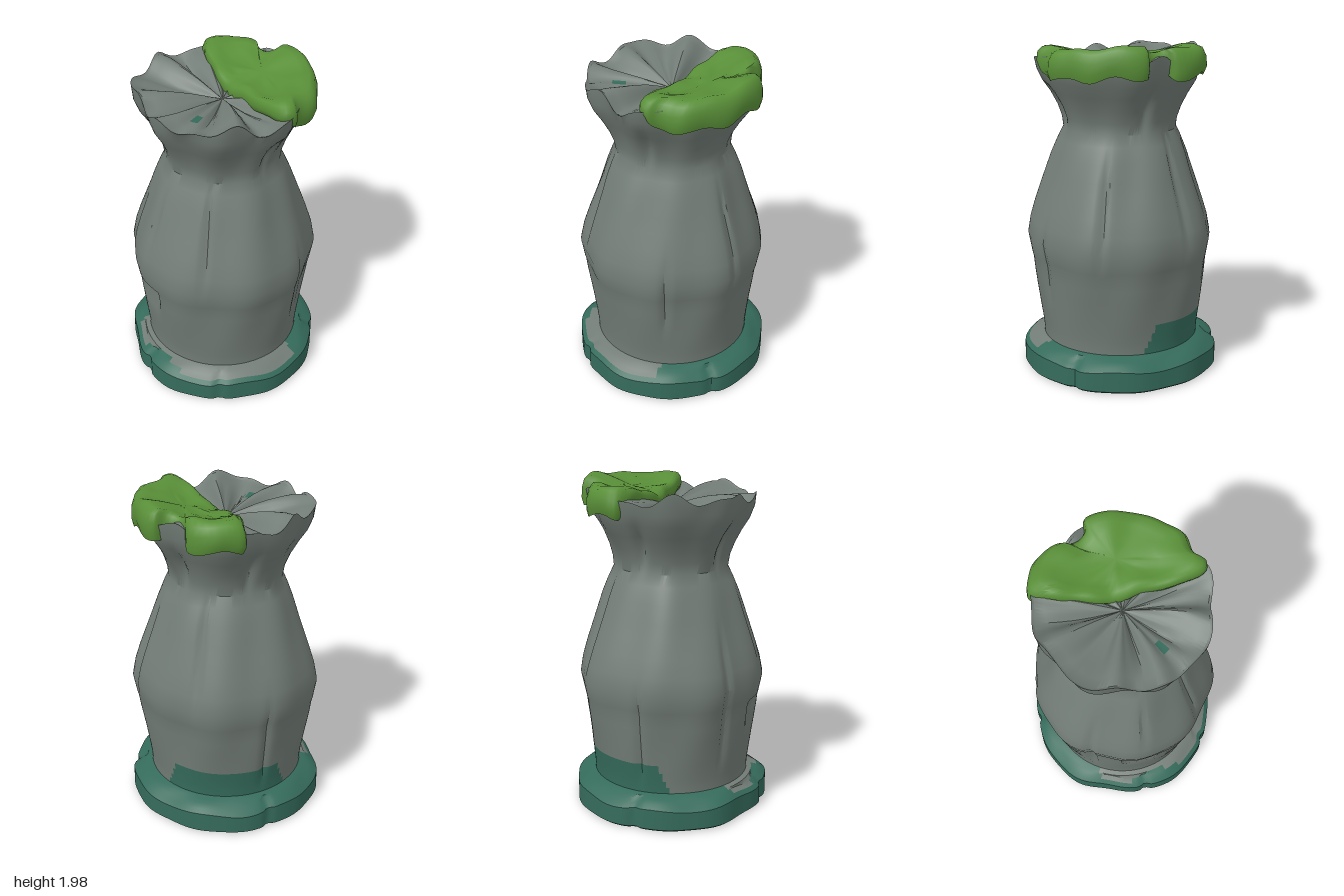
import * as THREE from 'three';
import { toCreasedNormals } from 'three/addons/utils/BufferGeometryUtils.js';

const stone = new THREE.MeshStandardMaterial({ name: 'grey stone', color: 0x737d77 });
const teal = new THREE.MeshStandardMaterial({ name: 'teal patina', color: 0x356b5b });
const moss = new THREE.MeshStandardMaterial({ name: 'green moss', color: 0x598f38 });

const TAU = Math.PI * 2;
const smooth = THREE.MathUtils.smoothstep;
const turn = (t, centre) => Math.atan2(Math.sin(t - centre), Math.cos(t - centre));
const bump = (t, centre, width) => Math.exp(-((turn(t, centre) / width) ** 2));
const plateau = (t, centre, half, soft) => 1 - smooth(Math.abs(turn(t, centre)), half - soft, half);

// Skins a closed grid of rings; keep(row, column) selects the faces
function skin(rows, cols, point, crease, keep = () => true) {
  const pos = [], index = [];
  for (let i = 0; i < rows; i++)
    for (let j = 0; j < cols; j++) pos.push(...point(i, j));
  for (let i = 0; i < rows - 1; i++)
    for (let j = 0; j < cols; j++) {
      if (!keep(i, j)) continue;
      const k = (j + 1) % cols;
      const a = i * cols + j, b = i * cols + k, c = b + cols, d = a + cols;
      if (i > 0) index.push(a, b, c);
      else { index.push(a, c, d); continue; }
      if (i < rows - 2) index.push(a, c, d);
    }
  const geo = new THREE.BufferGeometry();
  geo.setAttribute('position', new THREE.Float32BufferAttribute(pos, 3));
  geo.setIndex(index);
  return toCreasedNormals(geo, crease);
}

// Scalloped rim and the pleated hollow inside it
const rimHeight = t => 1.9 + 0.026 * Math.sin(8 * t + 1) + 0.014 * Math.sin(13 * t + 2)
  - 0.045 * bump(t, 0.15, 0.22) - 0.03 * bump(t, 1.3, 0.3) + 0.015 * bump(t, -1.2, 0.5);
const rimRadius = t => 0.485 + 0.014 * Math.sin(8 * t + 2.2) + 0.01 * Math.sin(5 * t);
const pleat = t => Math.asin(Math.sin(8 * t + 0.8 * Math.sin(3 * t))) * 0.022
  + 0.008 * Math.sin(19 * t + 1);
const hollow = (f, t) => 1.82 + (rimHeight(t) - 1.82) * Math.pow(f, 1.1)
  + pleat(t) * Math.sin(Math.PI * f);

// Outer profile [radius, height], from under the foot up to the rim
const profile = [
  [0, 0.02], [0.57, 0.012], [0.587, 0.025], [0.585, 0.138], [0.56, 0.16], [0.53, 0.178],
  [0.5, 0.194], [0.47, 0.203], [0.471, 0.24], [0.475, 0.28], [0.481, 0.33], [0.488, 0.38],
  [0.497, 0.45], [0.508, 0.53], [0.519, 0.61], [0.528, 0.69], [0.535, 0.715], [0.553, 0.82],
  [0.534, 0.92], [0.503, 1.02], [0.468, 1.12], [0.433, 1.22], [0.4, 1.32], [0.364, 1.41],
  [0.333, 1.475], [0.342, 1.54], [0.366, 1.61], [0.405, 1.69], [0.447, 1.76], [0.473, 1.83]
];
const funnel = [1, 0.97, 0.85, 0.7, 0.54, 0.36, 0.18, 0.02, 0];
const COLS = 144;
const ROWS = profile.length + funnel.length;
const angle = j => (j / COLS) * TAU;

function vasePoint(i, j) {
  const t = angle(j);
  let r, y;
  if (i >= profile.length) {
    const f = funnel[i - profile.length];
    r = f * rimRadius(t);
    y = f === 1 ? rimHeight(t) : hollow(f, t) - (f === 0.97 ? 0.008 : 0);
  } else {
    [r, y] = profile[i];
    if (i > 0 && i < 6) {
      // chipped foot blocks
      r += 0.004 * Math.sin(5 * t + 0.6) + 0.004 * Math.sin(11 * t) - 0.025 * bump(t, -0.6, 0.3);
      for (const notch of [-0.2, 0.72, 2.3, -1.9]) r -= 0.02 * bump(t, notch, 0.05);
      if (i > 2) y += 0.008 * Math.sin(7 * t + 1);
    } else if (i >= 7) {
      // worn facets on the belly
      const belly = smooth(y, 0.2, 0.7) * (1 - 0.5 * smooth(y, 1.2, 1.5));
      r += belly * (0.009 * Math.sin(5 * t + 2 * y) + 0.007 * Math.sin(9 * t - 3 * y + 1));
      // shallow vertical splits, each over its own stretch of height
      for (const [at, low, high] of [[0.55, 0.9, 1.4], [-0.2, 1.0, 1.3], [-0.85, 0.4, 1.1],
        [1.8, 0.5, 0.9], [2.6, 0.8, 1.3], [3.6, 0.9, 1.4], [4.4, 0.3, 0.8]])
        r -= 0.02 * bump(t, at, 0.04) * smooth(y, low - 0.1, low + 0.1)
          * (1 - smooth(y, high - 0.1, high + 0.1));
      // undercut chip on the front
      if (y > 0.5 && y < 0.7) r -= 0.035 * smooth(y, 0.5, 0.61) * plateau(t, -0.26, 0.2, 0.05);
      // gathered folds in the flared collar
      r += smooth(y, 1.45, 1.83) * (0.016 * Math.sin(8 * t + 2.2) + 0.01 * Math.sin(5 * t));
      const fold = smooth(y, 1.48, 1.6) * (1 - smooth(y, 1.66, 1.8));
      for (const at of [-0.6, 1.5, 3.2, 4.3]) r -= 0.035 * fold * bump(t, at, 0.09);
    }
  }
  return [r * Math.sin(t), y, r * Math.cos(t)];
}

// Ragged edge where the teal foot meets the stone
function isTeal(i, j) {
  const t = angle(j);
  if (i >= profile.length) {
    const f = funnel[i - profile.length];
    return f <= 0.7 && f > 0.54 && t > 0.2 && t < 0.32;
  }
  // bare ledge at the front right, teal climbing the wall at the back left
  const bare = plateau(t, 0.45, 1.3, 0.1);
  const climb = plateau(t, 3.9, 0.88, 0.2);
  const edge = 6.5 - 3 * bare + 1.4 * bump(t, -0.05, 0.35) + 3.9 * climb
    + 0.4 * Math.sin(7 * t + 2);
  return i < edge;
}

// Moss cushion: rings between an irregular outline and its centre
function mossGeometry() {
  const outline = [
    [-0.33, -0.2], [-0.22, -0.14], [-0.1, -0.08], [0, -0.05], [0.12, -0.03], [0.3, 0.02],
    [0.45, 0.035], [0.515, -0.015], [0.485, -0.07], [0.49, -0.2], [0.42, -0.32], [0.3, -0.44],
    [0.15, -0.515], [0.03, -0.53], [0.0, -0.46], [-0.11, -0.43], [-0.18, -0.47],
    [-0.35, -0.4], [-0.415, -0.28]
  ];
  const curve = new THREE.CatmullRomCurve3(
    outline.map(([x, z]) => new THREE.Vector3(x, 0, z)), true);
  const cols = 90, cx = 0.08, cz = -0.24;
  // [scale, lift above the hollow, droop over the rim]
  const rings = [
    [0, -0.02, 0], [0.7, -0.03, 0], [0.88, -0.04, 0.5], [0.96, -0.03, 1], [1, 0.0, 0.85],
    [0.99, 0.03, 0.55], [0.94, 0.05, 0.25], [0.84, 0.058, 0.05], [0.68, 0.052, 0],
    [0.5, 0.045, 0], [0.25, 0.045, 0], [0, 0.045, 0]
  ];
  const edge = curve.getPoints(cols);
  return skin(rings.length, cols, (i, j) => {
    const [s, lift, droop] = rings[i];
    const p = edge[j];
    const wobble = 1 + 0.012 * Math.sin(j * 0.9) * s;
    const x = cx + (p.x - cx) * s * wobble, z = cz + (p.z - cz) * s * wobble;
    const t = Math.atan2(x, z), r = Math.hypot(x, z);
    const f = Math.min(1, r / rimRadius(t));
    // even out the pleats beneath the cushion, leaving broad lobes
    const base = 1.825 + 0.1 * f + 0.2 * (rimHeight(t) - 1.9) * f;
    const lobes = f * (0.025 * bump(t, 2.9, 0.25) - 0.03 * bump(t, 3.3, 0.15)
      - 0.015 * bump(t, 1.85, 0.2) - 0.015 * bump(t, 2.4, 0.15));
    const lumps = 0.01 * Math.sin(23 * x + 2) * Math.sin(21 * z);
    const hang = 0.09 * (1 - 0.65 * bump(t, 1.5, 0.16)) * (1 + 0.15 * Math.sin(11 * t));
    return [x, base + lift + lobes + lumps - hang * droop * smooth(r, 0.36, 0.5), z];
  }, 1.2);
}

export function createModel() {
  const model = new THREE.Group();
  model.name = 'mossyStoneVase';
  const add = (name, geo, mat) => {
    const mesh = new THREE.Mesh(geo, mat);
    mesh.name = name;
    model.add(mesh);
  };
  add('vaseBody', skin(ROWS, COLS, vasePoint, 0.6, (i, j) => !isTeal(i, j)), stone);
  add('foot', skin(ROWS, COLS, vasePoint, 0.6, isTeal), teal);
  add('mossCushion', mossGeometry(), moss);
  return model;
}
